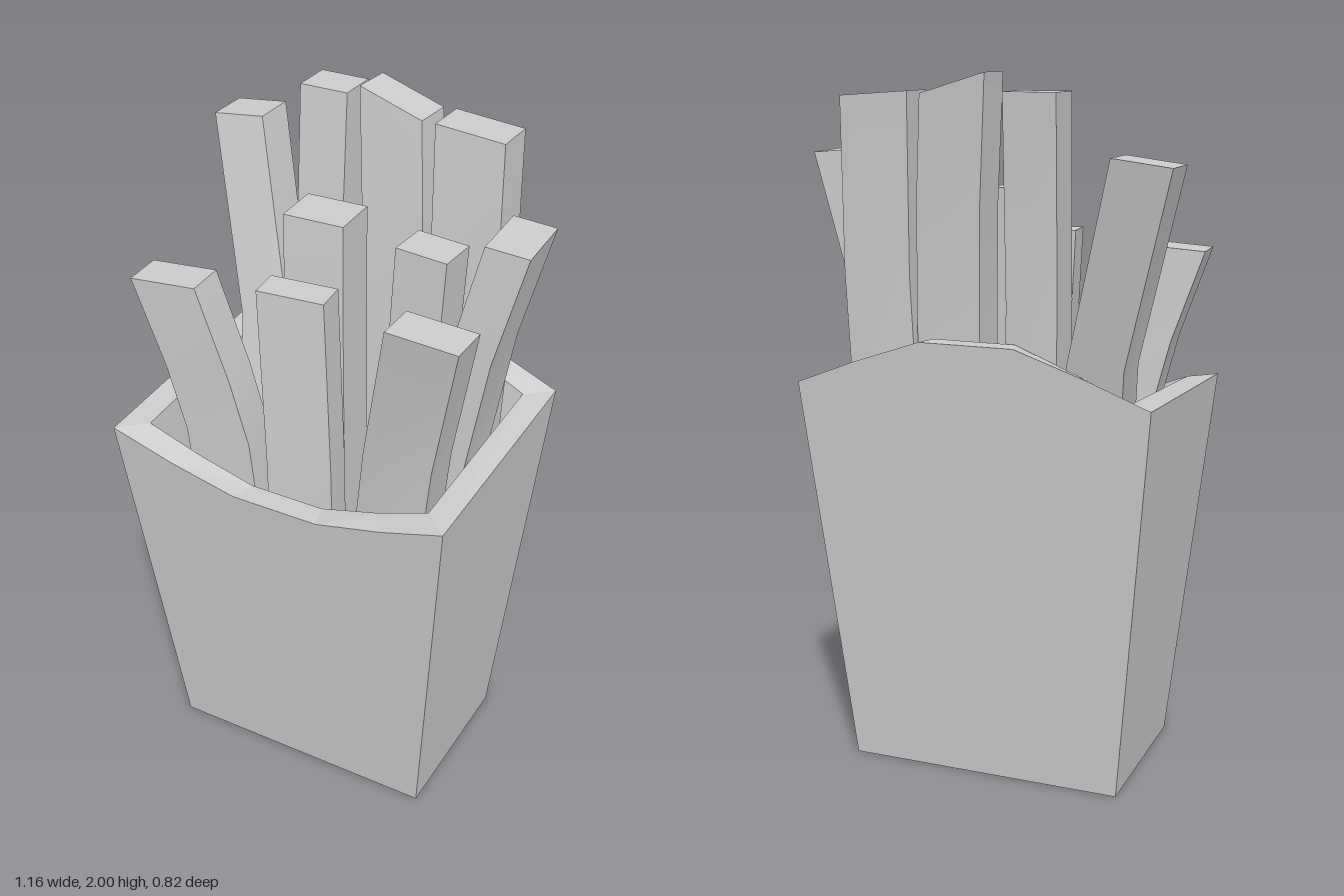
import * as THREE from 'three';
import { toCreasedNormals } from 'three/addons/utils/BufferGeometryUtils.js';

// Stitch rings of points (counter-clockwise from above); a one-point ring closes an end.
function loft(rings, crease) {
  const out = [];
  const tri = (a, b, c) => {
    if (a !== b && b !== c && c !== a) out.push(...a, ...b, ...c);
  };
  for (let r = 0; r < rings.length - 1; r++) {
    const lo = rings[r], hi = rings[r + 1];
    const n = Math.max(lo.length, hi.length);
    for (let i = 0; i < n; i++) {
      const a = lo[i % lo.length], b = lo[(i + 1) % lo.length];
      const c = hi[(i + 1) % hi.length], d = hi[i % hi.length];
      tri(a, b, c);
      tri(a, c, d);
    }
  }
  const geometry = new THREE.BufferGeometry();
  geometry.setAttribute('position', new THREE.Float32BufferAttribute(out, 3));
  return toCreasedNormals(geometry, crease);
}

// Tapered carton: dipped front, arched back, thick rim and hollow inside.
function cartonGeometry() {
  const stations = [-1, -0.65, -0.26, 0.26, 0.65, 1];
  const frontRim = [1.11, 1.05, 1.0, 1.0, 1.05, 1.11];
  const backRim = [1.15, 1.22, 1.29, 1.29, 1.22, 1.15];
  const ring = (inset, level) => {
    const point = (t, y, front) => [
      0.005 + t * (0.405 + 0.095 * y - inset * 1.08),
      y,
      front ? 0.29 + 0.108 * y - inset : -0.21 - 0.087 * y + inset * 0.88,
    ];
    return [
      ...stations.map((t, i) => point(t, level ?? frontRim[i], true)),
      ...stations.map((t, i) => point(-t, level ?? backRim[i], false)),
    ];
  };
  return loft([
    [[0, 0, 0.04]],
    ring(0, 0),
    ring(0),
    ring(0.07),
    ring(0.07, 0.08),
    [[0, 0.08, 0.04]],
  ], 0.1);
}

// Bent stick: a rectangle carried along path points, listed from bottom to top.
function fryGeometry({ path, w, d, yaw = 0, slope = 0 }) {
  const cos = Math.cos(yaw), sin = Math.sin(yaw);
  const rings = path.map(([x, y, z], k) =>
    [[-1, 1], [1, 1], [1, -1], [-1, -1]].map(([sx, sz]) => {
      const u = sx * w / 2, v = sz * d / 2;
      const tilt = k === path.length - 1 ? sx * slope : 0;
      return [x + u * cos + v * sin, y + tilt, z - u * sin + v * cos];
    }));
  return loft([[path[0]], ...rings, [path[path.length - 1]]], 0.5);
}

const fries = {
  backRightFry: { w: 0.16, d: 0.13, slope: 0.01,
    path: [[-0.25, 0.45, 0.0], [-0.34, 1.24, -0.2], [-0.5, 1.79, -0.345]] },
  backInnerRightFry: { w: 0.145, d: 0.12,
    path: [[-0.14, 0.45, -0.16], [-0.16, 1.4, -0.2], [-0.178, 1.953, -0.27]] },
  backCentreFry: { w: 0.19, d: 0.115, yaw: -0.06, slope: -0.028,
    path: [[0.1, 0.45, -0.12], [0.1, 1.3, -0.15], [0.085, 1.65, -0.18], [0.055, 1.972, -0.218]] },
  backLeftFry: { w: 0.2, d: 0.12, yaw: -0.02, slope: -0.007,
    path: [[0.27, 0.45, -0.14], [0.31, 1.45, -0.16], [0.292, 1.943, -0.2]] },
  middleFry: { w: 0.18, d: 0.145, yaw: 0.04,
    path: [[-0.02, 0.45, 0.04], [-0.055, 1.25, 0.0], [-0.075, 1.69, -0.035]] },
  middleLeftFry: { w: 0.15, d: 0.12, yaw: -0.05, slope: -0.003,
    path: [[0.18, 0.45, 0.03], [0.25, 1.25, 0.025], [0.275, 1.693, 0.025]] },
  leftFry: { w: 0.12, d: 0.195, yaw: 0.05, slope: -0.005,
    path: [[0.33, 0.45, 0.03], [0.37, 1.1, 0.03], [0.43, 1.45, 0.025], [0.515, 1.775, 0.018]] },
  frontRightFry: { w: 0.2, d: 0.12, yaw: 0.06, slope: 0.007,
    path: [[-0.22, 0.45, 0.165], [-0.28, 1.05, 0.175], [-0.33, 1.25, 0.185], [-0.42, 1.516, 0.197]] },
  frontCentreFry: { w: 0.195, d: 0.095, yaw: 0.1,
    path: [[0.0, 0.45, 0.2], [-0.012, 1.05, 0.195], [-0.045, 1.553, 0.17]] },
  frontLeftFry: { w: 0.2, d: 0.12, slope: -0.005,
    path: [[0.24, 0.45, 0.21], [0.325, 1.2, 0.24], [0.425, 1.632, 0.325]] },
};

export function createModel() {
  const model = new THREE.Group();
  model.name = 'cartonOfFries';
  const material = new THREE.MeshStandardMaterial({ color: 0xcccccc });
  const add = (name, geometry) => {
    const mesh = new THREE.Mesh(geometry, material);
    mesh.name = name;
    model.add(mesh);
  };

  add('carton', cartonGeometry());
  for (const [name, fry] of Object.entries(fries)) add(name, fryGeometry(fry));
  return model;
}
